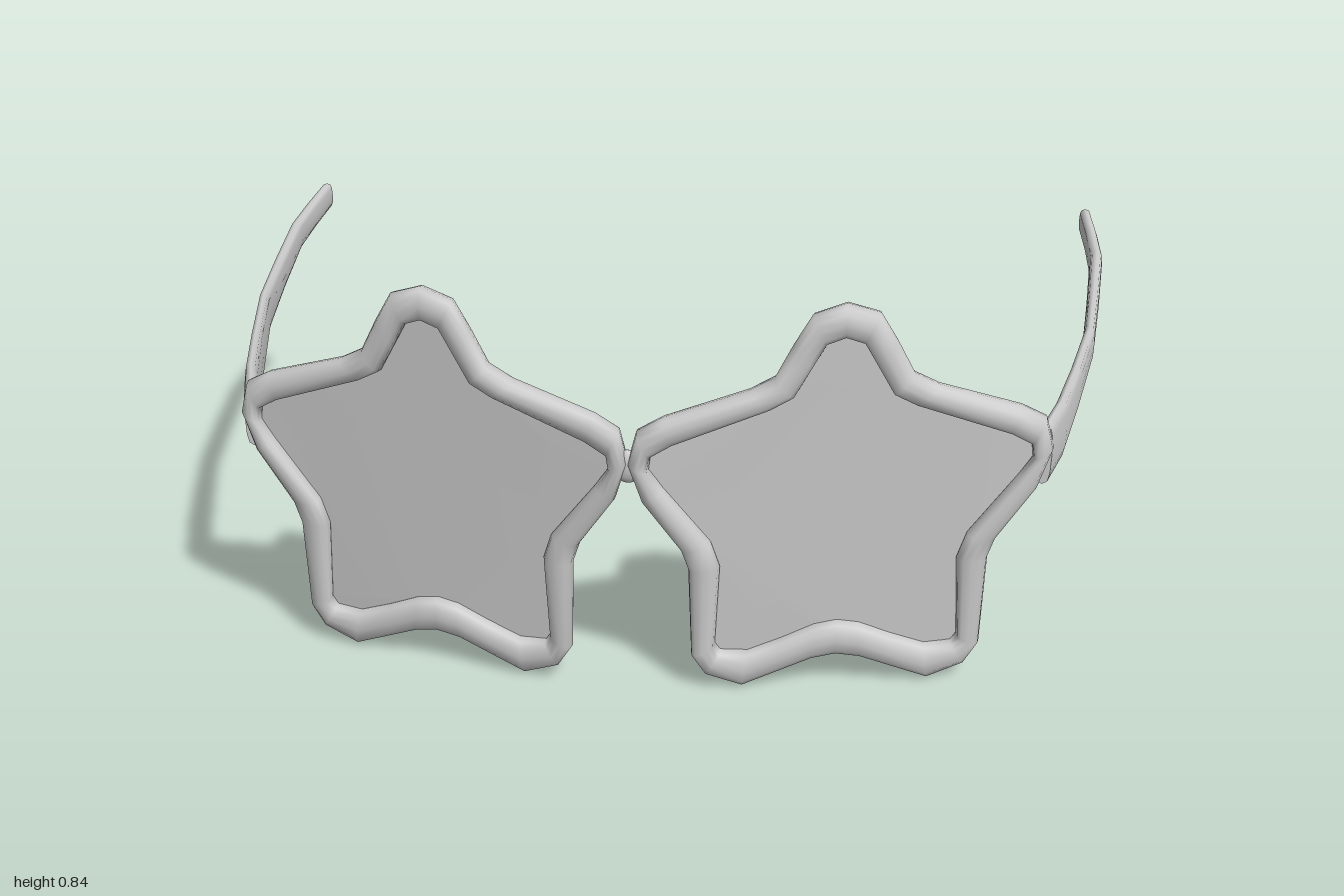
import * as THREE from 'three';

// Half of the star rim, tip to bottom notch: outer x, y, inner x, y
const HALF = [
  [0, .842, 0, .773], [.065, .82, .035, .76], [.1, .76, .06, .715], [.135, .692, .095, .652],
  [.185, .665, .14, .627], [.35, .612, .33, .555], [.4, .585, .373, .53], [.417, .52, .377, .5],
  [.39, .435, .35, .46], [.315, .325, .255, .335], [.3, .28, .237, .28], [.294, .08, .246, .1],
  [.265, .033, .235, .083], [.19, .003, .18, .08], [.12, .033, .11, .108], [.05, .063, .045, .138],
  [0, .073, 0, .147],
];
const STAR = [...HALF, ...HALF.slice(1, -1).reverse().map(([a, b, c, d]) => [-a, b, -c, d])];
const CENTRE = 0.417;

// The front wraps back towards the sides and leans slightly back at the bottom
function faceZ(x, y) {
  const z = x < 0.42 ? 0.655 - 0.17 * x : 0.5836 - 0.245 * (x - 0.42);
  return z - 0.02 * Math.max(0, 0.5 - y) / 0.5;
}

const soft = (v, p) => Math.sign(v) * Math.abs(v) ** p;

// Skin a list of equal rings; either joined into a loop or capped at both ends
function loft(rings, closed) {
  const n = rings[0].length, m = rings.length;
  const pos = rings.flat(), index = [];
  for (let i = 0; i < (closed ? m : m - 1); i++) {
    for (let j = 0; j < n; j++) {
      const i2 = (i + 1) % m, j2 = (j + 1) % n;
      const a = i * n + j, b = i2 * n + j, c = i2 * n + j2, d = i * n + j2;
      index.push(a, b, d, b, c, d);
    }
  }
  if (!closed) {
    [rings[0], rings[m - 1]].forEach((ring, end) => {
      const base = pos.length;
      pos.push(...ring);
      for (let j = 1; j < n - 1; j++) {
        if (end) index.push(base, base + j + 1, base + j);
        else index.push(base, base + j, base + j + 1);
      }
    });
  }
  const g = new THREE.BufferGeometry();
  g.setAttribute('position', new THREE.Float32BufferAttribute(pos.flat(), 3));
  g.setIndex(index);
  g.computeVertexNormals();
  return g;
}

function mirrored(geometry) {
  const g = geometry.clone().scale(-1, 1, 1);
  const ix = g.index.array;
  for (let i = 0; i < ix.length; i += 3) [ix[i], ix[i + 1]] = [ix[i + 1], ix[i]];
  g.computeVertexNormals();
  return g;
}

// Rounded rim swept around the star
function rimGeometry() {
  const sides = 12, depth = 0.03;
  return loft(STAR.map(([ox, oy, ix, iy]) => {
    const ring = [];
    for (let j = 0; j < sides; j++) {
      const a = j / sides * Math.PI * 2;
      const t = 0.5 + 0.5 * soft(Math.cos(a), 0.8);
      const x = CENTRE + ix + (ox - ix) * t, y = iy + (oy - iy) * t;
      ring.push([x, y, faceZ(x, y) - depth * soft(Math.sin(a), 0.8)]);
    }
    return ring;
  }), true);
}

// Thin star pane, its edge tucked into the rim
function lensGeometry() {
  const edge = STAR.map(([ox, oy, ix, iy]) =>
    new THREE.Vector2(CENTRE + ix + (ox - ix) * 0.15, iy + (oy - iy) * 0.15));
  const g = new THREE.ShapeGeometry(new THREE.Shape(edge));
  const p = g.attributes.position;
  for (let i = 0; i < p.count; i++) p.setZ(i, faceZ(p.getX(i), p.getY(i)) - 0.005);
  g.computeVertexNormals();
  return g;
}

// Temple stations: z, inner x, outer x, bottom y, top y
function templeGeometry() {
  const stations = [
    [.485, .8, .832, .437, .563], [.36, .84, .87, .441, .57], [.2, .88, .908, .473, .582],
    [0, .925, .951, .512, .6], [-.2, .948, .976, .543, .618], [-.42, .97, 1, .573, .638],
    [-.55, .969, .997, .588, .652], [-.675, .963, .99, .604, .666],
  ];
  const sides = 12;
  return loft(stations.map(([z, x0, x1, y0, y1]) => {
    const ring = [];
    for (let j = 0; j < sides; j++) {
      const a = j / sides * Math.PI * 2;
      ring.push([
        (x0 + x1) / 2 + (x1 - x0) / 2 * soft(Math.cos(a), 0.6),
        (y0 + y1) / 2 + (y1 - y0) / 2 * soft(Math.sin(a), 0.7), z]);
    }
    return ring;
  }), false);
}

export function createModel() {
  const model = new THREE.Group();
  model.name = 'starGlasses';
  const plastic = new THREE.MeshStandardMaterial({ color: 0xcccccc });
  const pane = new THREE.MeshStandardMaterial({ color: 0xcccccc, side: THREE.DoubleSide });
  const add = (name, geometry, material) => {
    const mesh = new THREE.Mesh(geometry, material);
    mesh.name = name;
    model.add(mesh);
    return mesh;
  };

  // Rim, lens and temple on both sides
  const parts = [['Rim', rimGeometry(), plastic], ['Lens', lensGeometry(), pane],
    ['Temple', templeGeometry(), plastic]];
  for (const [name, geometry, material] of parts) {
    add('left' + name, geometry, material);
    add('right' + name, mirrored(geometry), material);
  }

  // Small bridge where the two rims meet
  const bridge = add('bridge', new THREE.SphereGeometry(1, 16, 10), plastic);
  bridge.scale.set(0.03, 0.035, 0.015);
  bridge.position.set(0, 0.51, 0.656);
  return model;
}
